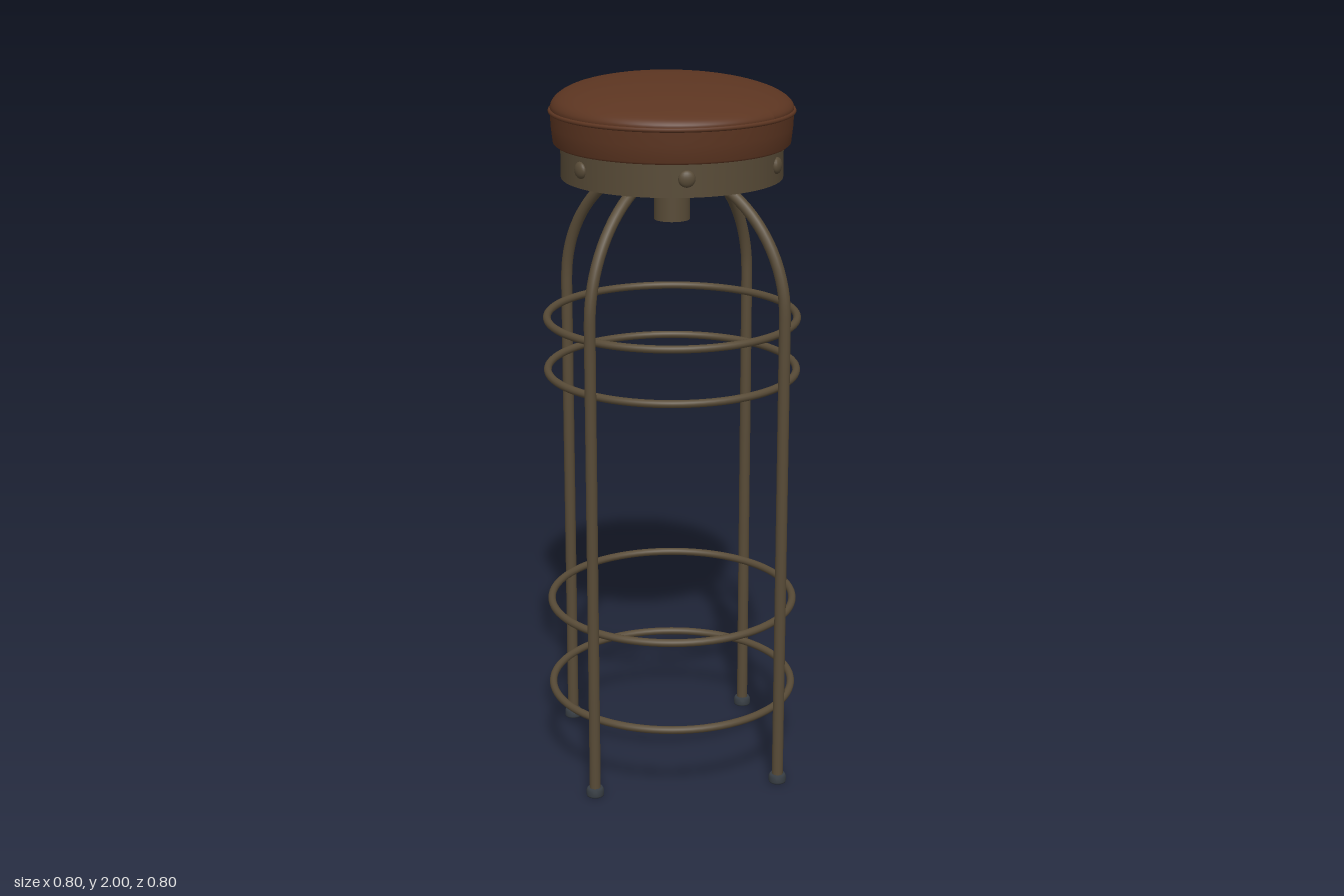
import * as THREE from 'three';

export function createModel() {
  const model = new THREE.Group();
  const mat = (name, color, side = THREE.FrontSide) => {
    const m = new THREE.MeshStandardMaterial({ color, side });
    m.name = name;
    return m;
  };
  const leather = mat('brown leather', 0x5c3521);
  const metal = mat('aged bronze metal', 0x584b37);
  const dark = mat('dark steel', 0x363c42, THREE.DoubleSide);

  const add = (name, geometry, material, x = 0, y = 0, z = 0, parent = model) => {
    const mesh = new THREE.Mesh(geometry, material);
    mesh.name = name;
    mesh.position.set(x, y, z);
    parent.add(mesh);
    return mesh;
  };
  const lathe = (pts, n = 64) => new THREE.LatheGeometry(pts.map(p => new THREE.Vector2(...p)), n);

  // Cushion: upright side, then a soft dome that leans up towards the back right
  add('cushionSide', lathe([[0.0001, 1.82], [0.318, 1.82]]), leather);
  add('cushionWall', lathe([[0.318, 1.82], [0.325, 1.826], [0.33, 1.87], [0.332, 1.915]]), leather);
  const profile = new THREE.SplineCurve([[0.331, 1.912], [0.33, 1.928], [0.315, 1.946], [0.28, 1.963],
    [0.21, 1.98], [0.11, 1.991], [0.0001, 1.994]].map(p => new THREE.Vector2(...p)));
  const dome = new THREE.LatheGeometry(profile.getPoints(24), 64);
  const pos = dome.attributes.position;
  for (let i = 0; i < pos.count; i++) {
    const x = pos.getX(i), y = pos.getY(i), z = pos.getZ(i);
    const lift = Math.min(1, Math.max(0, (y - 1.915) / 0.05));
    pos.setY(i, y + lift * (x * 0.025 - z * 0.035));
  }
  dome.computeVertexNormals();
  add('cushionTop', dome, leather);
  const piping = add('cushionPiping', new THREE.TorusGeometry(0.332, 0.006, 8, 64), leather, 0, 1.912);
  piping.rotation.x = Math.PI / 2;

  // Seat band: bronze outside, dark inside
  const bandOuter = 0.305, bandInner = 0.295, bandLow = 1.73, bandHigh = 1.822;
  add('seatBand', lathe([[bandOuter, bandLow], [bandOuter, bandHigh]]), metal);
  add('bandRim', lathe([[bandInner, bandLow], [bandOuter, bandLow]]), metal);
  add('bandLining', lathe([[bandInner, bandHigh], [bandInner, bandLow]]), dark);

  // Six domed rivets around the band
  for (let i = 0; i < 6; i++) {
    const a = THREE.MathUtils.degToRad(17 + 60 * i);
    const rivet = add('rivet', new THREE.SphereGeometry(0.023, 16, 12), metal,
      Math.cos(a) * bandOuter, 1.78, Math.sin(a) * bandOuter);
    rivet.rotation.y = -a;
    rivet.scale.x = 0.55;
  }

  // Mounting plate and hollow hub under the seat
  add('mountingPlate', new THREE.CylinderGeometry(0.135, 0.135, 0.03, 40), dark, 0, 1.802);
  add('hub', lathe([[0.036, 1.79], [0.036, 1.61]], 32), metal);
  add('hubOuter', lathe([[0.05, 1.61], [0.05, 1.79]], 32), metal);
  add('hubRim', lathe([[0.036, 1.61], [0.05, 1.61]], 32), metal);

  // Four legs: straight posts bending in a quarter circle to the hub
  const legR = 0.375, bend = 1.385;
  const path = new THREE.CurvePath();
  path.add(new THREE.LineCurve3(new THREE.Vector3(legR, 0.01, 0), new THREE.Vector3(legR, bend, 0)));
  const arc = [];
  for (let i = 0; i <= 12; i++) {
    const a = (i / 12) * Math.PI / 2 * 0.96;
    arc.push(new THREE.Vector3(legR * Math.cos(a), bend + legR * Math.sin(a), 0));
  }
  path.add(new THREE.CatmullRomCurve3(arc));
  const legGeometry = new THREE.TubeGeometry(path, 72, 0.016, 14);
  const footGeometry = lathe([[0.0001, 0], [0.024, 0], [0.025, 0.004], [0.025, 0.018], [0.021, 0.025], [0.0001, 0.025]], 24);
  for (let i = 0; i < 4; i++) {
    const leg = new THREE.Group();
    leg.name = 'leg';
    leg.rotation.y = i * Math.PI / 2;
    add('legTube', legGeometry, metal, 0, 0, 0, leg);
    add('footCap', footGeometry, dark, legR, 0, 0, leg);
    model.add(leg);
  }

  // Four brace rings inside the legs
  for (const y of [0.225, 0.49, 1.182, 1.333]) {
    const ring = add('braceRing', new THREE.TorusGeometry(0.35, 0.011, 12, 80), metal, 0, y);
    ring.rotation.x = Math.PI / 2;
  }
  return model;
}
